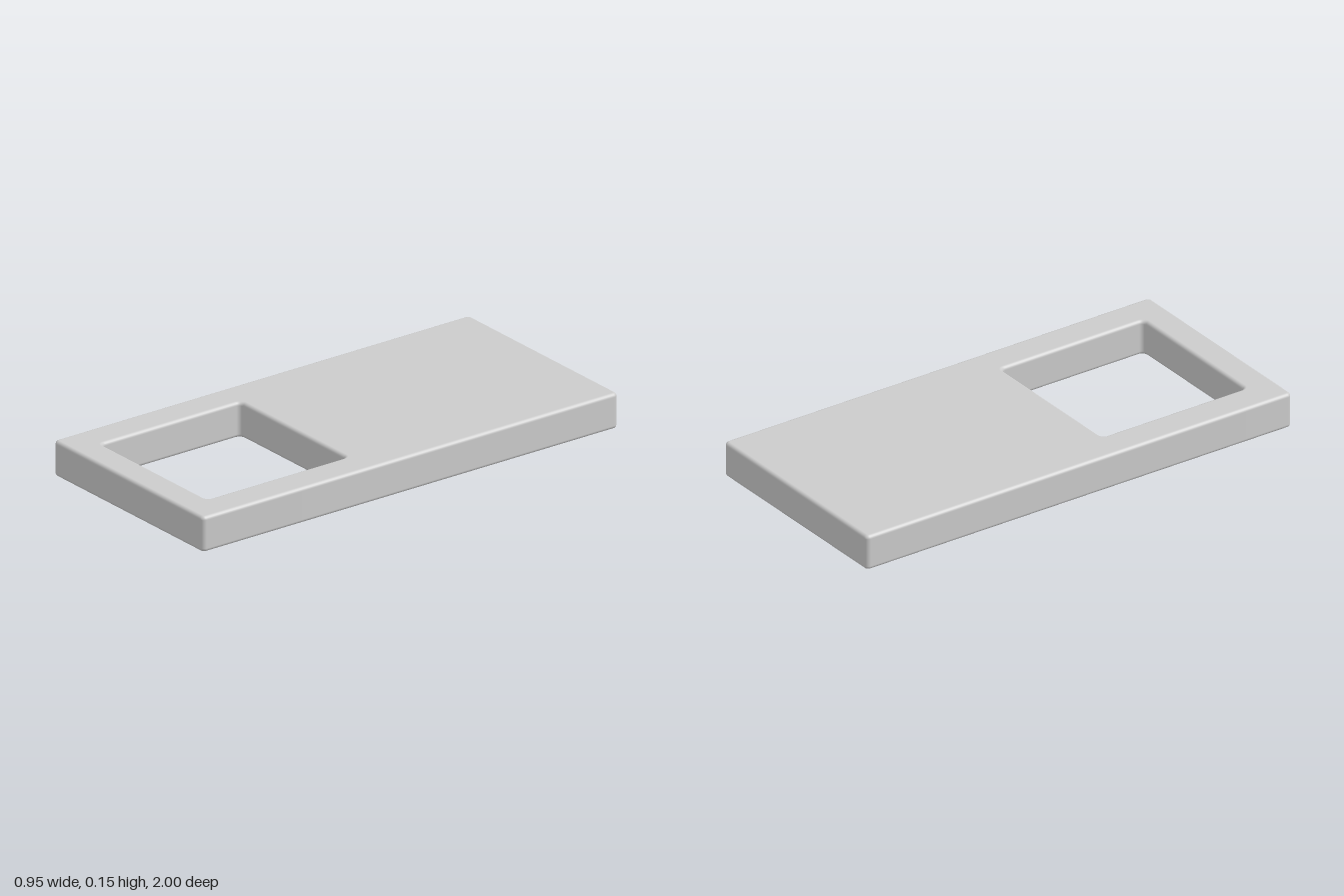
import * as THREE from 'three';

const W = 0.946, L = 2, H = 0.148;      // slab width, length, thickness
const HOLE = 0.67, HOLE_Z = 0.54;       // square window size and centre
const B = 0.015, R = 0.02;              // edge rounding and corner radius

// Rounded rectangle centred on (0, cy)
function roundedRect(path, w, h, r, cy) {
  const x = w / 2 - r, y = h / 2 - r;
  path.absarc(x, cy + y, r, 0, Math.PI / 2);
  path.absarc(-x, cy + y, r, Math.PI / 2, Math.PI);
  path.absarc(-x, cy - y, r, Math.PI, Math.PI * 1.5);
  path.absarc(x, cy - y, r, Math.PI * 1.5, Math.PI * 2);
  path.closePath();
  return path;
}

// Exact rounded-edge normals: flat faces stay flat, fillets stay smooth
function smoothEdges(geo) {
  const pos = geo.attributes.position, nor = geo.attributes.normal;
  for (let i = 0; i < pos.count; i++) {
    const x = pos.getX(i), y = pos.getY(i), z = pos.getZ(i);
    const inHole = Math.abs(x) < 0.4 && Math.abs(z - HOLE_Z) < 0.4;
    const cz = inHole ? HOLE_Z : 0;
    const hx = (inHole ? HOLE : W) / 2 - R, hz = (inHole ? HOLE : L) / 2 - R;
    const side = new THREE.Vector3(
      x - THREE.MathUtils.clamp(x, -hx, hx), 0,
      z - cz - THREE.MathUtils.clamp(z - cz, -hz, hz)).normalize();
    if (inHole) side.negate();
    const up = THREE.MathUtils.clamp(
      (y - THREE.MathUtils.clamp(y, B, H - B)) / B, -1, 1);
    side.multiplyScalar(Math.sqrt(1 - up * up));
    nor.setXYZ(i, side.x, up, side.z);
  }
  return geo;
}

export function createModel() {
  const group = new THREE.Group();
  group.name = 'slabWithWindow';

  // Slab outline with a square window near the front
  const shape = roundedRect(new THREE.Shape(), W - 2 * B, L - 2 * B, R - B, 0);
  shape.holes.push(roundedRect(new THREE.Path(), HOLE + 2 * B, HOLE + 2 * B, R + B, -HOLE_Z));

  const geo = new THREE.ExtrudeGeometry(shape, {
    depth: H - 2 * B, bevelEnabled: true, bevelSize: B, bevelThickness: B,
    bevelSegments: 5, curveSegments: 6,
  });
  geo.rotateX(-Math.PI / 2).translate(0, B, 0);

  const slab = new THREE.Mesh(smoothEdges(geo), new THREE.MeshStandardMaterial({ color: 0xcccccc }));
  slab.name = 'slab';
  group.add(slab);
  return group;
}
